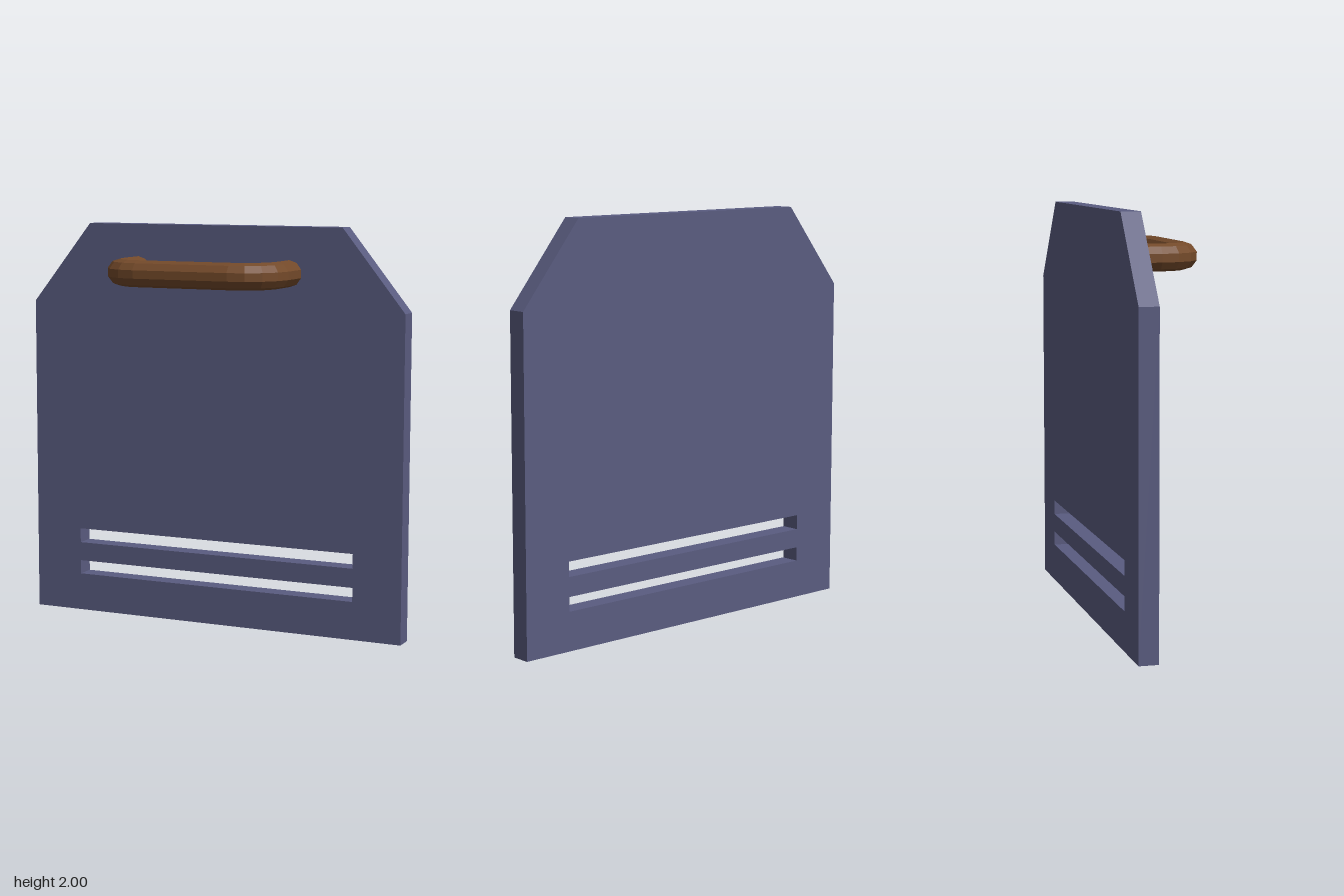
import * as THREE from 'three';

const BACK = -0.24, FACE = -0.145;

// U-shaped handle path: straight legs joined to the grip by two round bends
class HandleCurve extends THREE.Curve {
  constructor(halfWidth, front, bend, root, steps) {
    super();
    this.stations = [{ p: new THREE.Vector3(-halfWidth, 0, root), t: new THREE.Vector3(0, 0, 1) }];
    for (const side of [-1, 1]) {
      for (let i = 0; i <= steps; i++) {
        const a = (side < 0 ? Math.PI : Math.PI / 2) - (i / steps) * Math.PI / 2;
        this.stations.push({
          p: new THREE.Vector3(side * (halfWidth - bend) + bend * Math.cos(a), 0, front - bend + bend * Math.sin(a)),
          t: new THREE.Vector3(Math.sin(a), 0, -Math.cos(a)),
        });
      }
    }
    this.stations.push({ p: new THREE.Vector3(halfWidth, 0, root), t: new THREE.Vector3(0, 0, -1) });
    this.segments = this.stations.length - 1;
  }
  at(u) { return this.stations[Math.round(u * this.segments)]; }
  getPointAt(u, target = new THREE.Vector3()) { return target.copy(this.at(u).p); }
  getTangentAt(u, target = new THREE.Vector3()) { return target.copy(this.at(u).t); }
}

function polygon(Type, points) {
  return new Type(points.map(([x, y]) => new THREE.Vector2(x, y)));
}

export function createModel() {
  const group = new THREE.Group();
  group.name = 'panelWithHandle';

  // Flat panel with clipped top corners and two slots
  const outline = polygon(THREE.Shape, [[-1, 0], [1, 0], [1, 1.6], [0.68, 2], [-0.68, 2], [-1, 1.6]]);
  for (const [low, high] of [[0.19, 0.26], [0.355, 0.428]]) {
    outline.holes.push(polygon(THREE.Path, [[-0.75, low], [-0.75, high], [0.75, high], [0.75, low]]));
  }
  const panel = new THREE.Mesh(
    new THREE.ExtrudeGeometry(outline, { depth: FACE - BACK, bevelEnabled: false }),
    new THREE.MeshStandardMaterial({ color: 0x5a5c80, flatShading: true })
  );
  panel.name = 'panel';
  panel.position.z = BACK;
  group.add(panel);

  // Ten-sided bent handle, rooted in the panel face
  const path = new HandleCurve(0.407, 0.173, 0.16, FACE - 0.005, 4);
  const handle = new THREE.Mesh(
    new THREE.TubeGeometry(path, path.segments, 0.065, 10),
    new THREE.MeshStandardMaterial({ color: 0x744a2a, flatShading: true })
  );
  handle.name = 'handle';
  handle.position.y = 1.775;
  group.add(handle);

  return group;
}
